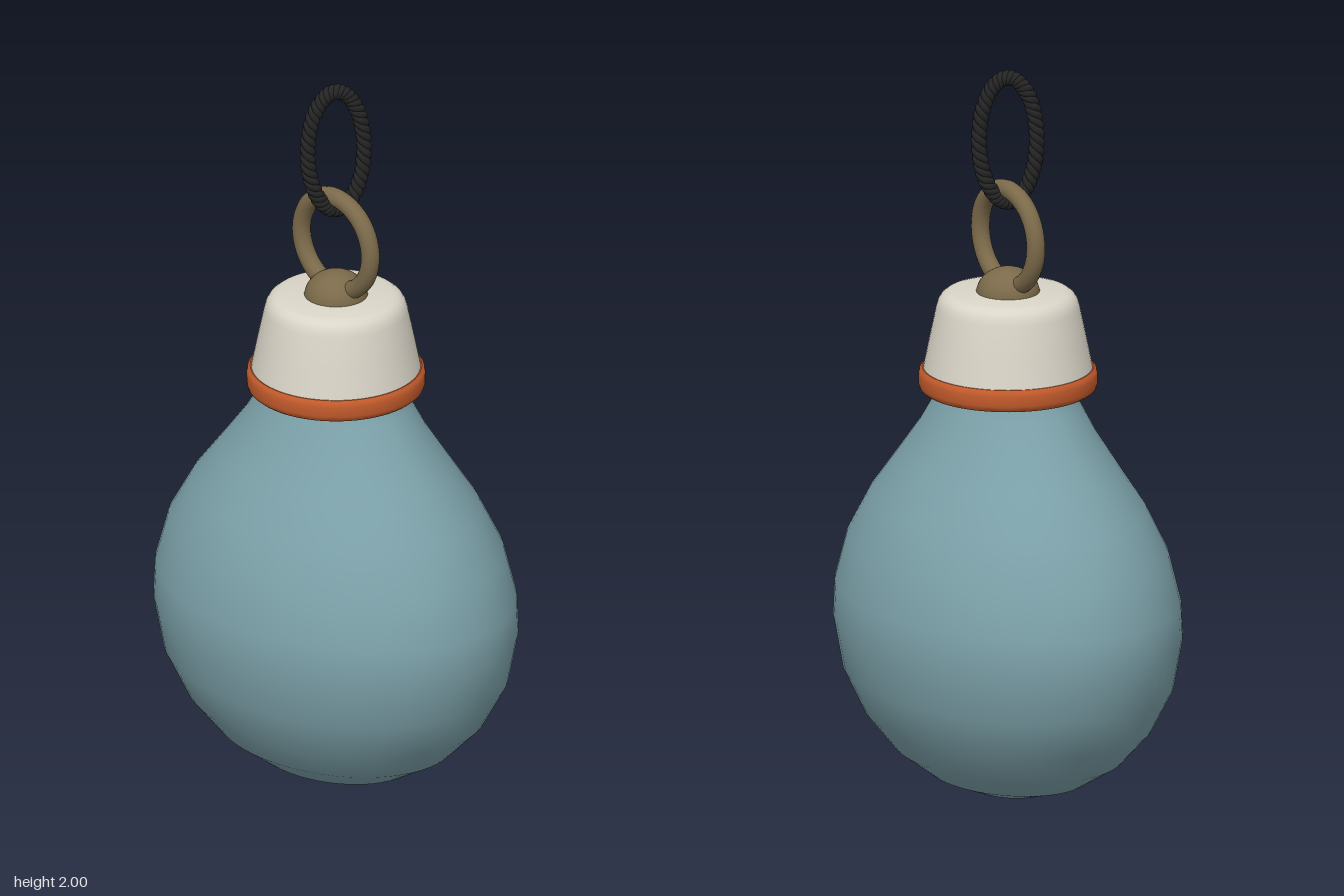
import * as THREE from 'three';
import { toCreasedNormals } from 'three/addons/utils/BufferGeometryUtils.js';

const material = (name, color) => {
  const m = new THREE.MeshStandardMaterial({ color });
  m.name = name;
  return m;
};

const lathe = (points, segments = 64) =>
  new THREE.LatheGeometry(points.map(([r, y]) => new THREE.Vector2(r, y)), segments);

// One strand of the twisted cord, wound around an elliptical loop
class CordStrand extends THREE.Curve {
  constructor(phase) {
    super();
    this.phase = phase;
  }
  getPoint(t, target = new THREE.Vector3()) {
    const a = t * Math.PI * 2;
    const twist = a * 15 + this.phase;
    const rx = 0.077, ry = 0.172, offset = 0.0105;
    const normal = new THREE.Vector2(Math.cos(a) * ry, Math.sin(a) * rx).normalize();
    const out = offset * Math.cos(twist);
    return target.set(
      rx * Math.cos(a) + normal.x * out,
      ry * Math.sin(a) + normal.y * out,
      offset * Math.sin(twist)
    );
  }
}

export function createModel() {
  const group = new THREE.Group();
  const teal = material('dusty teal', 0x7ca1a9);
  const cream = material('cream', 0xdad5c8);
  const orange = material('burnt orange', 0xc25a2b);
  const bronze = material('aged bronze', 0x7b6a4a);
  const black = material('black cord', 0x252525);

  const add = (name, geometry, mat, parent = group) => {
    const mesh = new THREE.Mesh(geometry, mat);
    mesh.name = name;
    parent.add(mesh);
    return mesh;
  };

  // Pear-shaped body, flattened front to back
  const body = lathe([
    [0, 0.005], [0.13, 0.018], [0.25, 0.057], [0.36, 0.123], [0.45, 0.215],
    [0.515, 0.33], [0.543, 0.465], [0.538, 0.56], [0.5, 0.69], [0.43, 0.81],
    [0.35, 0.912], [0.275, 1.01], [0.225, 1.09], [0.2, 1.13], [0.195, 1.17]
  ]);
  body.scale(1, 1, 0.782);
  add('body', body, teal);

  // Collar band under the cap
  add('collar', toCreasedNormals(lathe([
    [0, 1.12], [0.228, 1.12], [0.235, 1.126], [0.238, 1.137], [0.238, 1.163],
    [0.235, 1.174], [0.228, 1.18], [0, 1.18]
  ]), 0.7), orange);

  // Tapered cap with rounded shoulder
  add('cap', toCreasedNormals(lathe([
    [0.226, 1.175], [0.209, 1.26], [0.191, 1.345], [0.186, 1.362], [0.178, 1.375],
    [0.166, 1.384], [0.15, 1.388], [0, 1.388]
  ]), 0.6), cream);

  // Domed knob that holds the ring
  const knob = new THREE.SphereGeometry(0.085, 32, 12, 0, Math.PI * 2, 0, Math.PI / 2);
  knob.scale(1, 0.85, 1);
  add('knob', knob, bronze).position.y = 1.382;

  // Metal ring
  add('ring', new THREE.TorusGeometry(0.132, 0.025, 14, 56), bronze).position.y = 1.537;

  // Twisted cord loop through the ring
  const cord = new THREE.Group();
  cord.name = 'cordLoop';
  for (let i = 0; i < 3; i++) {
    const strand = new CordStrand((i * Math.PI * 2) / 3);
    add('cordStrand', new THREE.TubeGeometry(strand, 300, 0.0115, 7, true), black, cord);
  }
  cord.position.y = 1.807;
  cord.rotation.y = Math.PI / 3;
  group.add(cord);

  return group;
}
